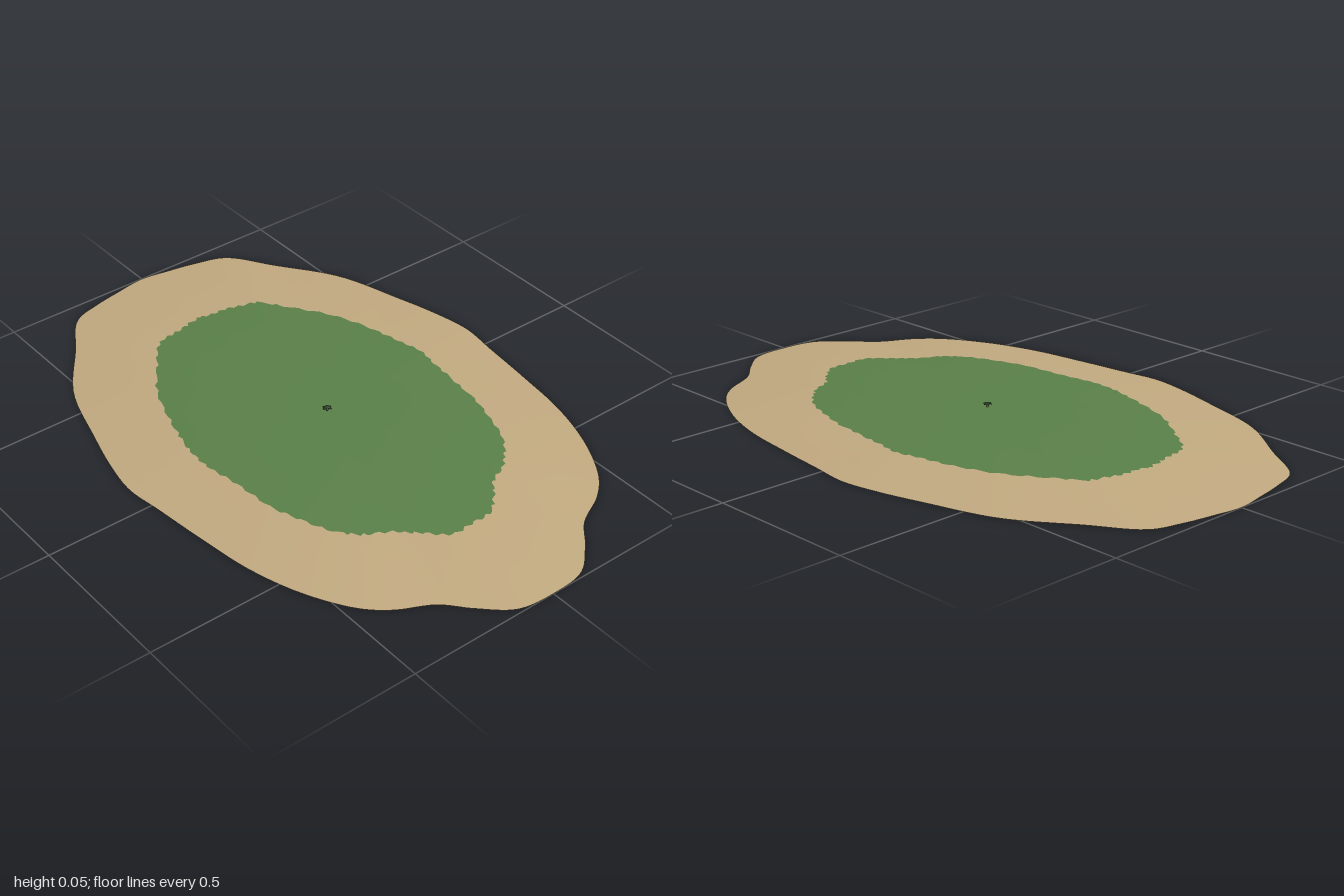
import * as THREE from 'three';

const SEGMENTS = 240;
const material = (name, color) => {
  const m = new THREE.MeshStandardMaterial({ color, side: THREE.DoubleSide });
  m.name = name;
  return m;
};

// Half of the shoreline from back to front; mirrored for the other side
const HALF_SHORE = [
  [0, -1], [0.1, -0.985], [0.2, -0.965], [0.3, -0.93], [0.4, -0.79], [0.53, -0.6],
  [0.6, -0.38], [0.64, -0.23], [0.66, -0.1], [0.645, 0.03], [0.625, 0.2], [0.595, 0.4],
  [0.54, 0.57], [0.46, 0.71], [0.39, 0.775], [0.28, 0.835], [0.21, 0.91], [0.12, 0.985], [0, 1],
];

function shoreline() {
  const right = HALF_SHORE.map(([x, z]) => new THREE.Vector3(x, 0, z));
  const left = HALF_SHORE.slice(1, -1).reverse().map(([x, z]) => new THREE.Vector3(-x, 0, z));
  const curve = new THREE.CatmullRomCurve3([...right, ...left], true);
  return Array.from({ length: SEGMENTS }, (_, i) => curve.getPoint(i / SEGMENTS));
}

// Low dome: height against distance from centre (0) to shore (1)
const height = (t) => 0.04 * (1 - t ** 2.6) * (1 - 0.22 * t ** 4);

// Ragged edge where the grass meets the sand
const grassEdge = (i) => 0.662 + 0.007 * Math.sign(Math.sin(i * 1.9)) * Math.abs(Math.sin(i * 0.73));

// Open dome surface between two rings, each given as a fraction of the shore
function domeBand(shore, inner, outer, rings) {
  const positions = [], index = [];
  for (let r = 0; r <= rings; r++) {
    shore.forEach((p, i) => {
      const t = THREE.MathUtils.lerp(inner(i), outer(i), r / rings);
      positions.push(p.x * t, height(t), p.z * t);
    });
  }
  for (let r = 0; r < rings; r++) {
    for (let i = 0; i < SEGMENTS; i++) {
      const j = (i + 1) % SEGMENTS;
      const a = r * SEGMENTS + i, b = r * SEGMENTS + j;
      const c = a + SEGMENTS, d = b + SEGMENTS;
      index.push(a, b, c, b, d, c);
    }
  }
  const geometry = new THREE.BufferGeometry();
  geometry.setAttribute('position', new THREE.Float32BufferAttribute(positions, 3));
  geometry.setIndex(index);
  geometry.computeVertexNormals();
  return geometry;
}

export function createModel() {
  const sand = material('sand', 0xc2aa80);
  const grass = material('grass', 0x5a8048);
  const leaf = material('dark leaf', 0x2f4a2c);
  const wood = material('wood', 0x8a6a48);
  const island = new THREE.Group();
  island.name = 'island';
  const add = (name, geometry, mat, parent = island) => {
    const mesh = new THREE.Mesh(geometry, mat);
    mesh.name = name;
    parent.add(mesh);
    return mesh;
  };

  // Beach and grassy top
  const shore = shoreline();
  add('beach', domeBand(shore, grassEdge, () => 1, 10), sand);
  add('grassTop', domeBand(shore, () => 0.002, grassEdge, 16), grass);

  // Tiny tree at the centre, its trunk reaching under the shell
  const tree = new THREE.Group();
  tree.name = 'tree';
  island.add(tree);
  add('trunk', new THREE.CylinderGeometry(0.003, 0.005, 0.03, 8), wood, tree).position.y = 0.036;
  for (let i = 0; i < 6; i++) {
    const frond = add('frond', new THREE.SphereGeometry(0.008, 8, 6), leaf, tree);
    const angle = (i / 6) * Math.PI * 2;
    frond.scale.set(1, 0.2, 0.5);
    frond.position.set(Math.cos(angle) * 0.007, 0.051, Math.sin(angle) * 0.007);
    frond.rotation.set(0, -angle, -0.25, 'YXZ');
  }

  // Small roots beneath the grass
  for (let i = 0; i < 4; i++) {
    const angle = (i / 4) * Math.PI * 2 + 0.4;
    const root = add('root', new THREE.BoxGeometry(0.03, 0.004, 0.006), wood, tree);
    root.position.set(Math.cos(angle) * 0.017, 0.026, Math.sin(angle) * 0.017);
    root.rotation.y = -angle;
  }
  return island;
}
